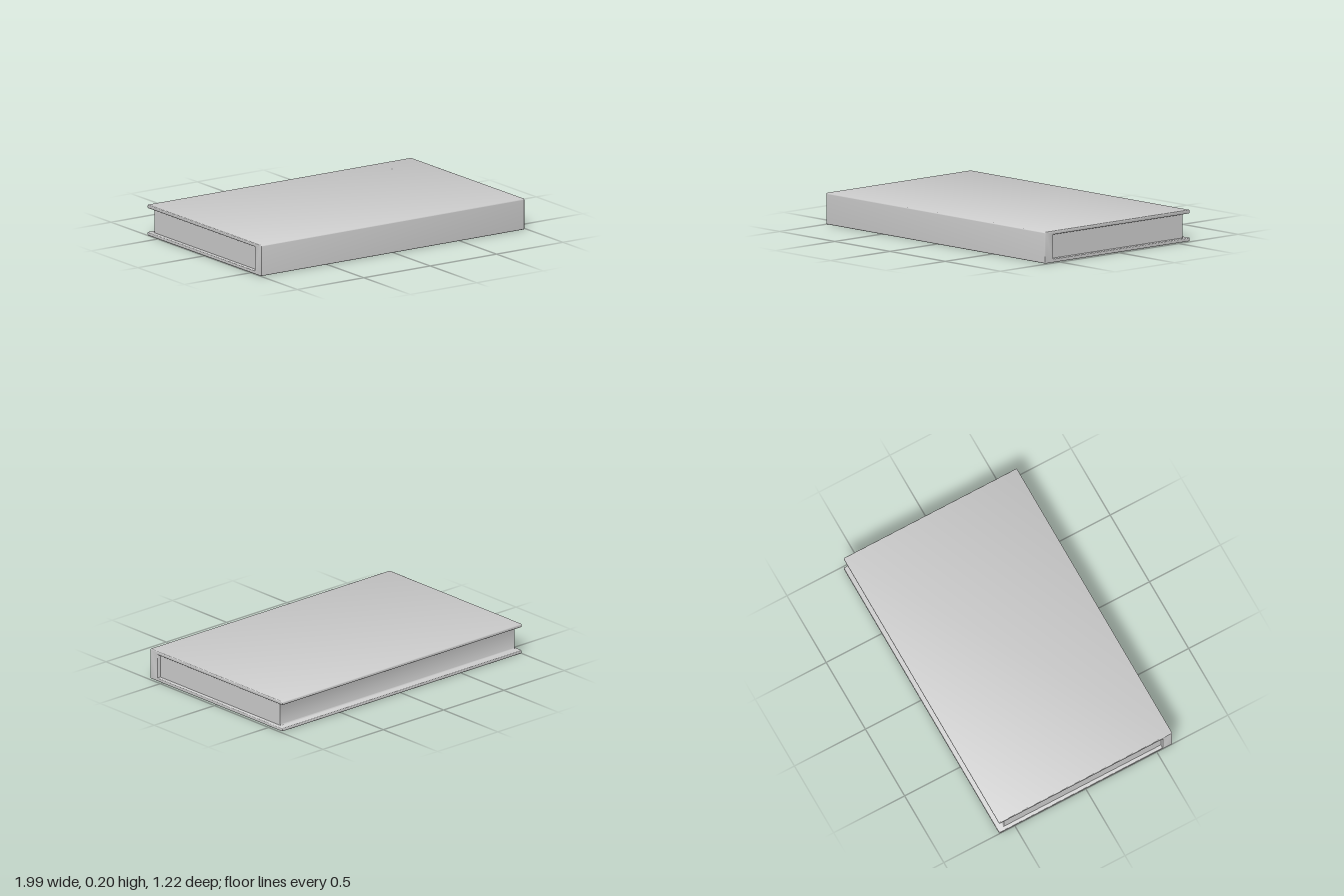
import * as THREE from 'three';
import { toCreasedNormals } from 'three/addons/utils/BufferGeometryUtils.js';

const LEFT = -1, RIGHT = 0.985;   // ends of the cover along x
const HALF = 0.61, HEIGHT = 0.197; // half depth and thickness of the closed book
const BOARD = 0.023, SPINE = 0.07;

// Extrude a side profile (u = -z, y) along x between two ends.
function extrudeAlongX(shape, from, to, bevel) {
  const geometry = new THREE.ExtrudeGeometry(shape, {
    depth: to - from - 2 * bevel,
    bevelEnabled: bevel > 0,
    bevelSize: bevel,
    bevelThickness: bevel,
    bevelOffset: -bevel,
    bevelSegments: 3,
    curveSegments: 6,
  });
  geometry.rotateY(Math.PI / 2);
  geometry.translate(from + bevel, 0, 0);
  return toCreasedNormals(geometry, 0.7);
}

export function createModel() {
  const book = new THREE.Group();
  book.name = 'book';
  const material = new THREE.MeshStandardMaterial({ color: 0xcccccc });
  const add = (name, geometry, mat = material) => {
    const mesh = new THREE.Mesh(geometry, mat);
    mesh.name = name;
    book.add(mesh);
  };

  // Cover: two boards joined by the spine, a C profile with rounded edges
  const r = 0.008, inner = -HALF + SPINE, top = HEIGHT - BOARD;
  const cover = new THREE.Shape();
  cover.moveTo(-HALF + r, 0);
  cover.lineTo(HALF - r, 0);
  cover.quadraticCurveTo(HALF, 0, HALF, r);
  cover.lineTo(HALF, BOARD - r);
  cover.quadraticCurveTo(HALF, BOARD, HALF - r, BOARD);
  cover.lineTo(inner, BOARD);
  cover.lineTo(inner, top);
  cover.lineTo(HALF - r, top);
  cover.quadraticCurveTo(HALF, top, HALF, top + r);
  cover.lineTo(HALF, HEIGHT - r);
  cover.quadraticCurveTo(HALF, HEIGHT, HALF - r, HEIGHT);
  cover.lineTo(-HALF + r, HEIGHT);
  cover.quadraticCurveTo(-HALF, HEIGHT, -HALF, HEIGHT - r);
  cover.lineTo(-HALF, r);
  cover.quadraticCurveTo(-HALF, 0, -HALF + r, 0);
  add('cover', extrudeAlongX(cover, LEFT, RIGHT, 0.005));

  // Page block: fore edge flares slightly where it meets the boards
  const edge = 0.565, flare = 0.012, overlap = 0.002;
  const pages = new THREE.Shape();
  pages.moveTo(inner - overlap, BOARD - overlap);
  pages.lineTo(edge + flare, BOARD - overlap);
  pages.quadraticCurveTo(edge, BOARD, edge, BOARD + flare);
  pages.lineTo(edge, top - flare);
  pages.quadraticCurveTo(edge, top, edge + flare, top + overlap);
  pages.lineTo(inner - overlap, top + overlap);
  add('pages', extrudeAlongX(pages, LEFT + 0.022, RIGHT - 0.022, 0));

  // Tiny loose paper corner sticking out beside the spine
  const corner = new THREE.Shape([
    new THREE.Vector2(0.95, -0.545),
    new THREE.Vector2(0.993, -0.543),
    new THREE.Vector2(0.95, -0.535),
  ]);
  const paper = new THREE.ShapeGeometry(corner).rotateX(-Math.PI / 2);
  paper.translate(0, top - 0.001, 0);
  const thin = material.clone();
  thin.side = THREE.DoubleSide;
  add('paperCorner', paper, thin);

  return book;
}
